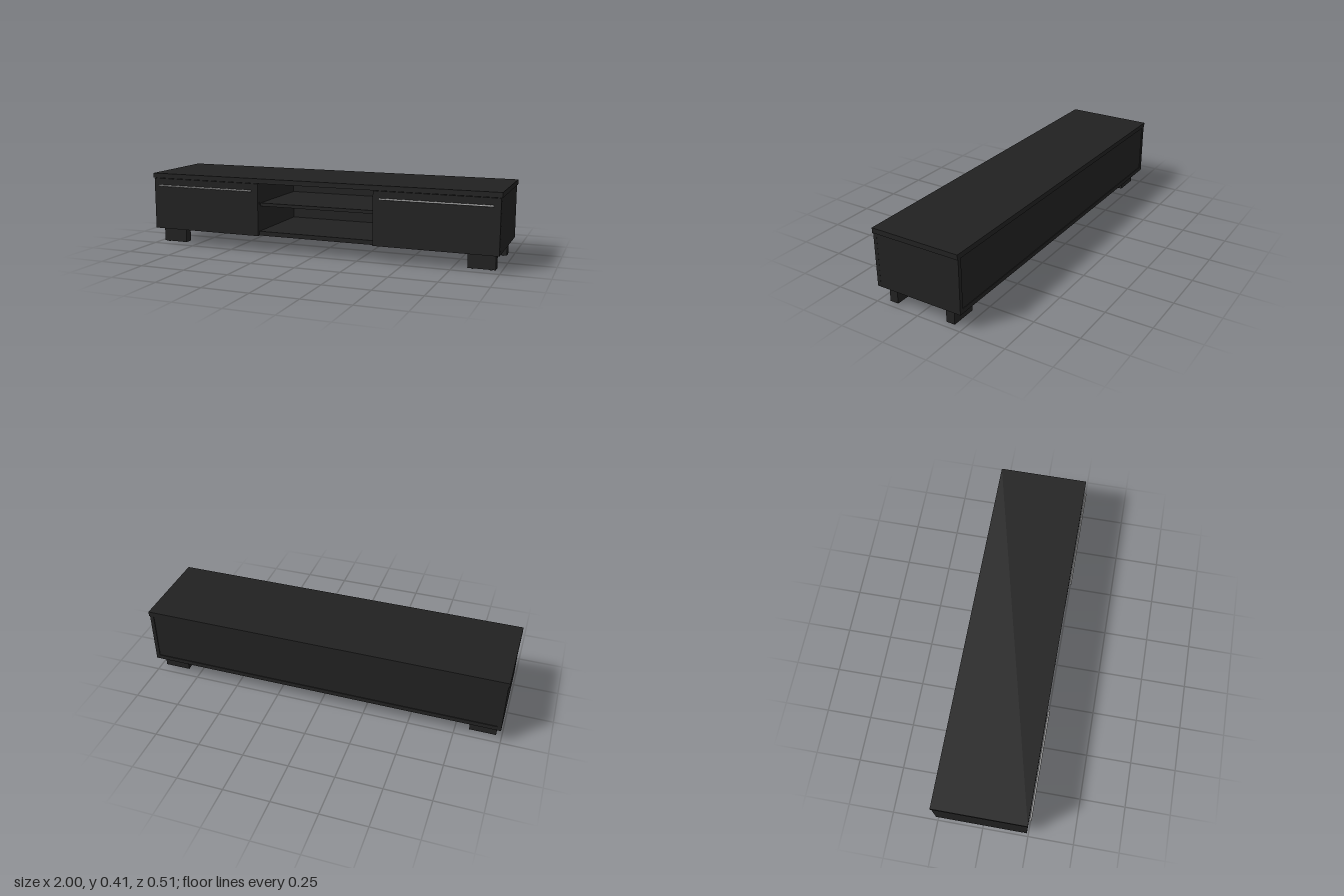
import * as THREE from 'three';

export function createModel() {
  const group = new THREE.Group();
  const black = new THREE.MeshStandardMaterial({ color: 0x212121 });
  black.name = 'black lacquer';
  const silver = new THREE.MeshStandardMaterial({ color: 0xb8b8b8 });
  silver.name = 'brushed silver';

  // Box given by its minimum and maximum on each axis
  function box(name, [x0, x1], [y0, y1], [z0, z1], material = black) {
    const mesh = new THREE.Mesh(new THREE.BoxGeometry(x1 - x0, y1 - y0, z1 - z0), material);
    mesh.position.set((x0 + x1) / 2, (y0 + y1) / 2, (z0 + z1) / 2);
    mesh.name = name;
    group.add(mesh);
  }

  // Cylinder of given radius and length, standing along y unless turned
  function rod(name, radius, length, x, y, z, material, axis) {
    const mesh = new THREE.Mesh(new THREE.CylinderGeometry(radius, radius, length, 16), material);
    mesh.position.set(x, y, z);
    if (axis === 'x') mesh.rotation.z = Math.PI / 2;
    if (axis === 'z') mesh.rotation.x = Math.PI / 2;
    mesh.name = name;
    group.add(mesh);
  }

  // Carcass panels
  box('topBoard', [-1, 1], [0.382, 0.409], [-0.255, 0.243]);
  box('bottomBoard', [-0.973, 0.973], [0.088, 0.112], [-0.254, 0.222]);
  box('backPanel', [-0.973, 0.973], [0.112, 0.382], [-0.25, -0.243]);
  box('middleShelf', [-0.333, 0.333], [0.251, 0.269], [-0.243, 0.205]);

  for (const s of [-1, 1]) {
    // Range mirrored to this side
    const side = (a, b) => (s > 0 ? [a, b] : [-b, -a]);
    box('sidePanel', side(0.973, 0.994), [0.088, 0.382], [-0.254, 0.222]);
    box('divider', side(0.333, 0.355), [0.112, 0.382], [-0.243, 0.222]);
    box('drawerFront', side(0.333, 0.994), [0.088, 0.38], [0.2225, 0.242]);

    // Bar handle on two short posts
    rod('handleBar', 0.005, 0.59, s * 0.665, 0.34, 0.2515, silver, 'x');
    for (const x of [0.44, 0.89]) rod('handlePost', 0.0025, 0.008, s * x, 0.34, 0.245, silver, 'z');

    // Block legs with small glides underneath
    for (const z of [0.167, -0.176]) {
      box('leg', side(0.826, 0.97), [0.004, 0.088], [z - 0.024, z + 0.024]);
      for (const x of [0.85, 0.946])
        for (const dz of [-0.013, 0.013]) rod('glide', 0.006, 0.004, s * x, 0.002, z + dz, black);
    }
  }
  return group;
}
